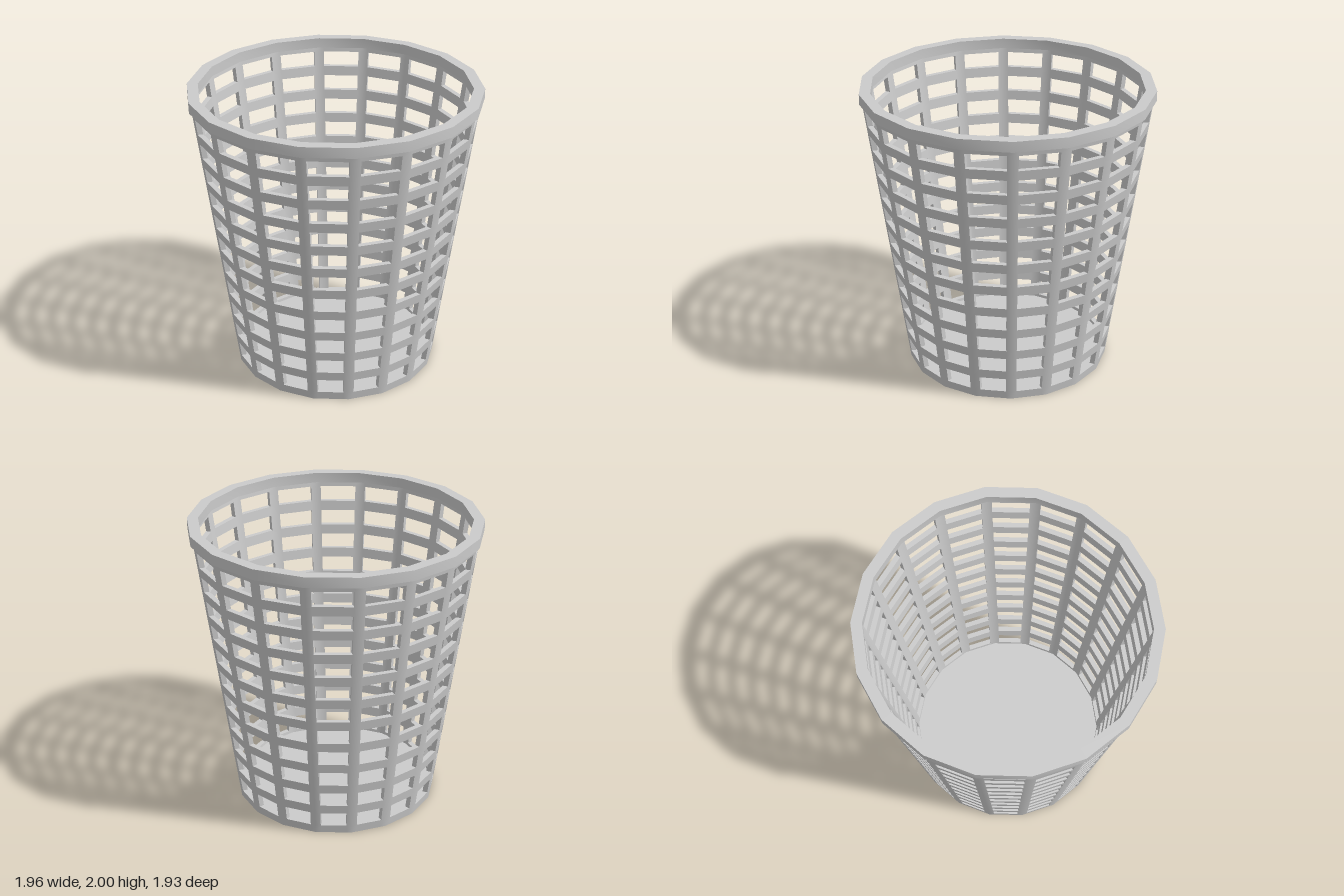
import * as THREE from 'three';
import { toCreasedNormals } from 'three/addons/utils/BufferGeometryUtils.js';

const SIDES = 18, STEP = (Math.PI * 2) / SIDES;
const ROWS = 11, PITCH = 0.173, HOLE_H = 0.106, FIRST = 0.06;
const BAR = 0.035;                 // half width of an upright bar
const WALL_TOP = 1.935, THICK = 0.035, FLOOR = 0.04;
const outerR = (y) => 0.699 + 0.135 * y;
const innerR = (y) => outerR(y) - THICK;
const material = new THREE.MeshStandardMaterial({ color: 0xcccccc });

// Point on panel i: column 0..3 = corner, bar edge, bar edge, corner
function point(i, column, y, radius) {
  const mid = (i + 0.5) * STEP;
  const half = radius * Math.sin(STEP / 2), apothem = radius * Math.cos(STEP / 2);
  const s = [-half, -half + BAR, half - BAR, half][column];
  return [
    apothem * Math.sin(mid) + s * Math.cos(mid), y,
    apothem * Math.cos(mid) - s * Math.sin(mid),
  ];
}

// Tapered wall of flat panels, each with a column of windows
function wallGeometry() {
  const pos = [];
  const quad = (a, b, c, d) => pos.push(...a, ...b, ...c, ...a, ...c, ...d);
  const levels = [0];
  for (let k = 0; k < ROWS; k++) levels.push(FIRST + k * PITCH, FIRST + k * PITCH + HOLE_H);
  levels.push(WALL_TOP);

  for (let i = 0; i < SIDES; i++) {
    const out = (c, y) => point(i, c, y, outerR(y));
    const inn = (c, y) => point(i, c, y, innerR(y));
    for (let r = 0; r < levels.length - 1; r++) {
      const y0 = levels[r], y1 = levels[r + 1];
      for (let c = 0; c < 3; c++) {
        if (c === 1 && r % 2 === 1) {
          // window: sill, head and two jambs
          quad(out(1, y0), out(2, y0), inn(2, y0), inn(1, y0));
          quad(inn(1, y1), inn(2, y1), out(2, y1), out(1, y1));
          quad(out(1, y0), inn(1, y0), inn(1, y1), out(1, y1));
          quad(inn(2, y0), out(2, y0), out(2, y1), inn(2, y1));
        } else {
          quad(out(c, y0), out(c + 1, y0), out(c + 1, y1), out(c, y1));
          quad(inn(c + 1, y0), inn(c, y0), inn(c, y1), inn(c + 1, y1));
        }
      }
    }
    // underside of the wall
    for (let c = 0; c < 3; c++) quad(inn(c, 0), inn(c + 1, 0), out(c + 1, 0), out(c, 0));
  }
  const g = new THREE.BufferGeometry();
  g.setAttribute('position', new THREE.Float32BufferAttribute(pos, 3));
  return g;
}

export function createModel() {
  const group = new THREE.Group();
  group.name = 'wasteBasket';
  const add = (name, geometry) => {
    const mesh = new THREE.Mesh(toCreasedNormals(geometry, Math.PI / 6), material);
    mesh.name = name;
    group.add(mesh);
    return mesh;
  };

  // Panel corners fall on the x axis
  add('latticeWall', wallGeometry()).rotation.y = Math.PI / 2;

  // Solid floor
  const floor = new THREE.CylinderGeometry(innerR(FLOOR), innerR(0), FLOOR, SIDES, 1, false, Math.PI / 2);
  add('floor', floor.translate(0, FLOOR / 2, 0));

  // Rim band with square section
  const section = [[0.905, 1.93], [0.978, 1.93], [0.978, 2], [0.905, 2], [0.905, 1.93]];
  const profile = section.map(([x, y]) => new THREE.Vector2(x, y));
  add('rim', new THREE.LatheGeometry(profile, SIDES, Math.PI / 2));

  return group;
}
